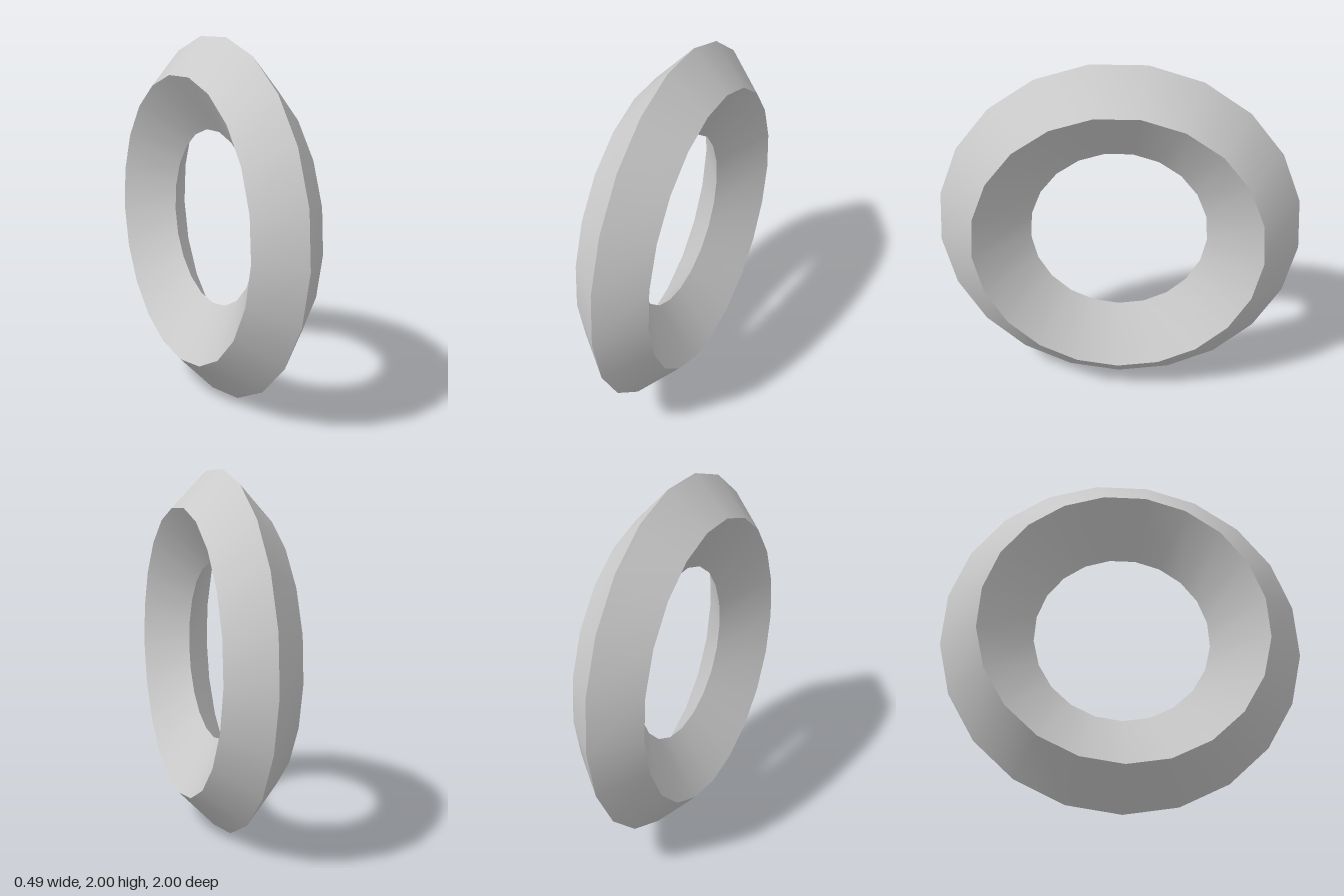
import * as THREE from 'three';
import { toCreasedNormals } from 'three/addons/utils/BufferGeometryUtils.js';

export function createModel() {
  const group = new THREE.Group();
  const outer = 1.004, rim = 0.797, inner = 0.493, half = 0.205;

  // Diamond cross-section, swept in 21 steps around the axis
  const profile = [[rim, -half], [outer, 0], [rim, half], [inner, 0], [rim, -half]]
    .map(([r, y]) => new THREE.Vector2(r, y));
  const lathe = new THREE.LatheGeometry(profile, 21, -Math.PI / 2);

  // Stand the ring upright on a corner, turned slightly about the vertical
  lathe.rotateZ(Math.PI / 2);
  lathe.rotateY(-0.05);
  lathe.translate(0, outer, 0);

  // Smooth around the ring, sharp between the four bands
  const ring = new THREE.Mesh(
    toCreasedNormals(lathe, Math.PI / 5),
    new THREE.MeshStandardMaterial({ color: 0xcccccc })
  );
  ring.name = 'ring';
  group.add(ring);
  return group;
}
